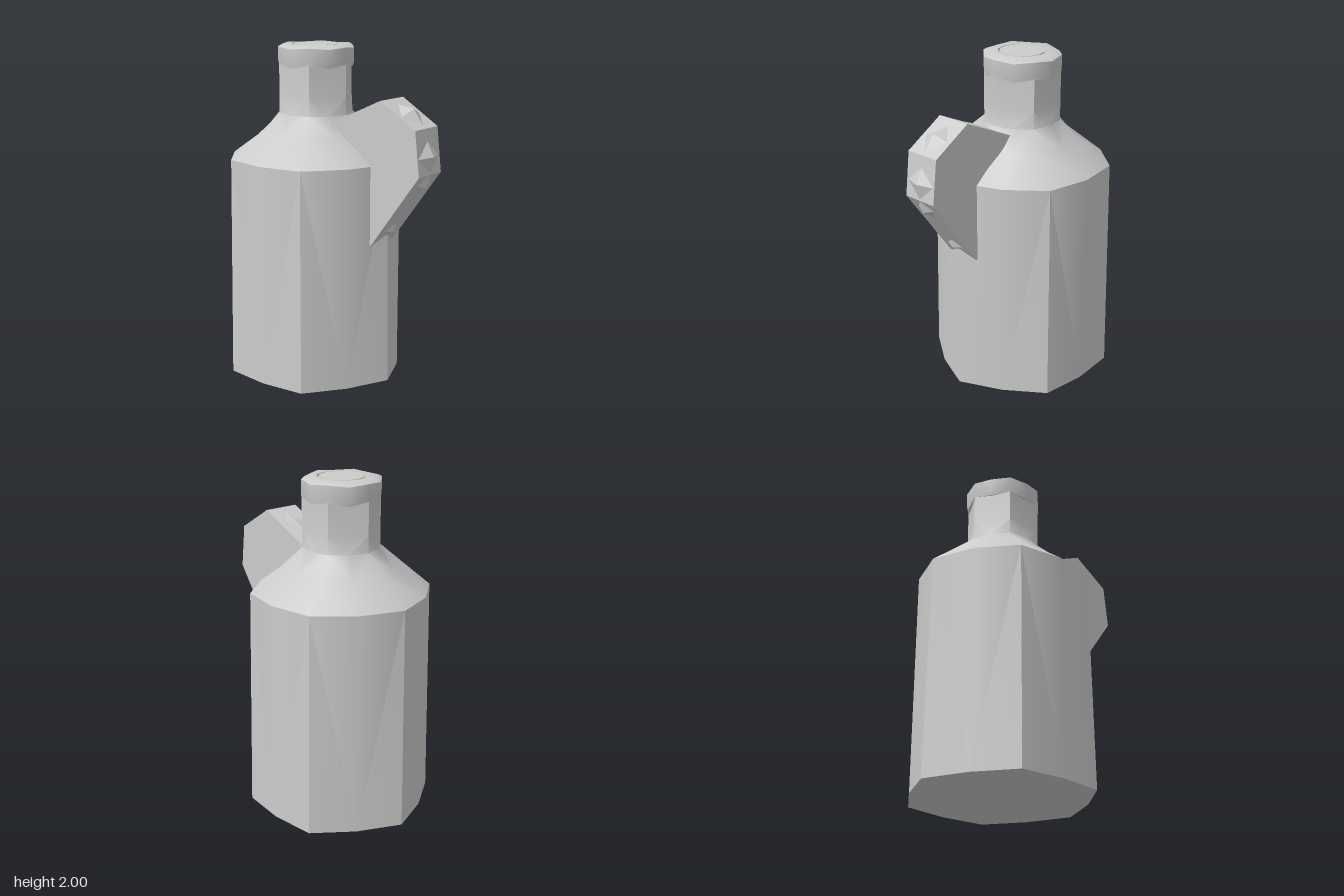
import * as THREE from 'three';
import { toCreasedNormals } from 'three/addons/utils/BufferGeometryUtils.js';

const mat = new THREE.MeshStandardMaterial({ color: 0xcccccc });
const AXIS_Z = -0.15; // the bottle axis sits behind the origin to leave room for the handle
const HALF = 0.11; // half the handle's width

// Loft of twelve-sided rings; each ring is [corner radius, corner y, mid radius, mid y]
function loft(rings, crease) {
  const n = 12, pos = [];
  const point = (j, i) => {
    const [rc, yc, rm, ym] = rings[j], a = (i * Math.PI * 2) / n;
    const r = i % 2 ? rm : rc;
    return [r * Math.sin(a), i % 2 ? ym : yc, AXIS_Z + r * Math.cos(a)];
  };
  for (let j = 0; j < rings.length - 1; j++) {
    for (let i = 0; i < n; i++) {
      const a = point(j, i), b = point(j, i + 1), c = point(j + 1, i + 1), d = point(j + 1, i);
      if (rings[j][0] === 0) pos.push(...a, ...c, ...d);
      else if (rings[j + 1][0] === 0) pos.push(...a, ...b, ...c);
      else if (i % 2) pos.push(...a, ...b, ...c, ...a, ...c, ...d);
      else pos.push(...a, ...b, ...d, ...b, ...c, ...d);
    }
  }
  const geo = new THREE.BufferGeometry();
  geo.setAttribute('position', new THREE.Float32BufferAttribute(pos, 3));
  return toCreasedNormals(geo, crease);
}

function add(group, name, geo) {
  const mesh = new THREE.Mesh(geo, mat);
  mesh.name = name;
  group.add(mesh);
  return mesh;
}

// Low four-sided pyramid lying on the handle outline between points p and q (z, y)
function bump(group, p, q, t, width, length, height) {
  const dz = q[0] - p[0], dy = q[1] - p[1];
  const normal = new THREE.Vector3(0, dz, -dy).normalize();
  const geo = new THREE.ConeGeometry(1, 1, 4).toNonIndexed();
  geo.translate(0, 0.5, 0);
  geo.scale(width, height, length);
  geo.computeVertexNormals();
  const mesh = add(group, 'handleBump', geo);
  mesh.position.set(0, p[1] + dy * t, p[0] + dz * t);
  mesh.quaternion.setFromUnitVectors(new THREE.Vector3(0, 1, 0), normal);
}

export function createModel() {
  const model = new THREE.Group();
  model.name = 'jug';

  // Body, shoulder and hexagonal neck
  add(model, 'body', loft([
    [0, 0, 0, 0],
    [0.555, 0, 0.51, 0],
    [0.535, 1.33, 0.51, 1.33],
    [0.37, 1.47, 0.32, 1.47],
    [0.23, 1.59, 0.222, 1.59],
    [0.23, 1.69, 0.2, 1.69],
    [0.23, 1.92, 0.2, 1.92],
  ], 0.75));

  // Rounder lip around the mouth
  add(model, 'lip', loft([
    [0.2, 1.9, 0.19, 1.88],
    [0.232, 1.885, 0.22, 1.865],
    [0.233, 1.91, 0.23, 1.895],
    [0.233, 1.985, 0.23, 1.975],
    [0.215, 1.996, 0.205, 1.99],
    [0.145, 1.997, 0.145, 1.997],
    [0.142, 1.985, 0.142, 1.985],
    [0.135, 1.985, 0.135, 1.985],
    [0.133, 1.997, 0.133, 1.997],
    [0, 2, 0, 2],
  ], 0.9));

  // Solid handle, its outline given in (z, y)
  const handle = new THREE.Group();
  handle.name = 'handle';
  const outline = [[0.07, 1.56], [0.41, 1.715], [0.65, 1.57], [0.68, 1.31], [0.35, 0.86]];
  const shape = new THREE.Shape(outline.map(([z, y]) => new THREE.Vector2(z, y)));
  const slab = new THREE.ExtrudeGeometry(shape, { depth: 2 * HALF, bevelEnabled: false });
  slab.rotateY(-Math.PI / 2).translate(HALF, 0, 0);
  add(handle, 'handleSlab', slab);

  // Faceted bumps along the handle's outer faces
  const [a, b, c, d, e] = outline;
  bump(handle, a, b, 0.62, 0.06, 0.09, 0.008);
  bump(handle, b, c, 0.55, 0.085, 0.1, 0.042);
  bump(handle, c, d, 0.62, 0.1, 0.09, 0.036);
  bump(handle, d, e, 0.14, 0.06, 0.075, 0.03);
  bump(handle, d, e, 0.8, 0.06, 0.05, 0.025);
  model.add(handle);

  return model;
}
